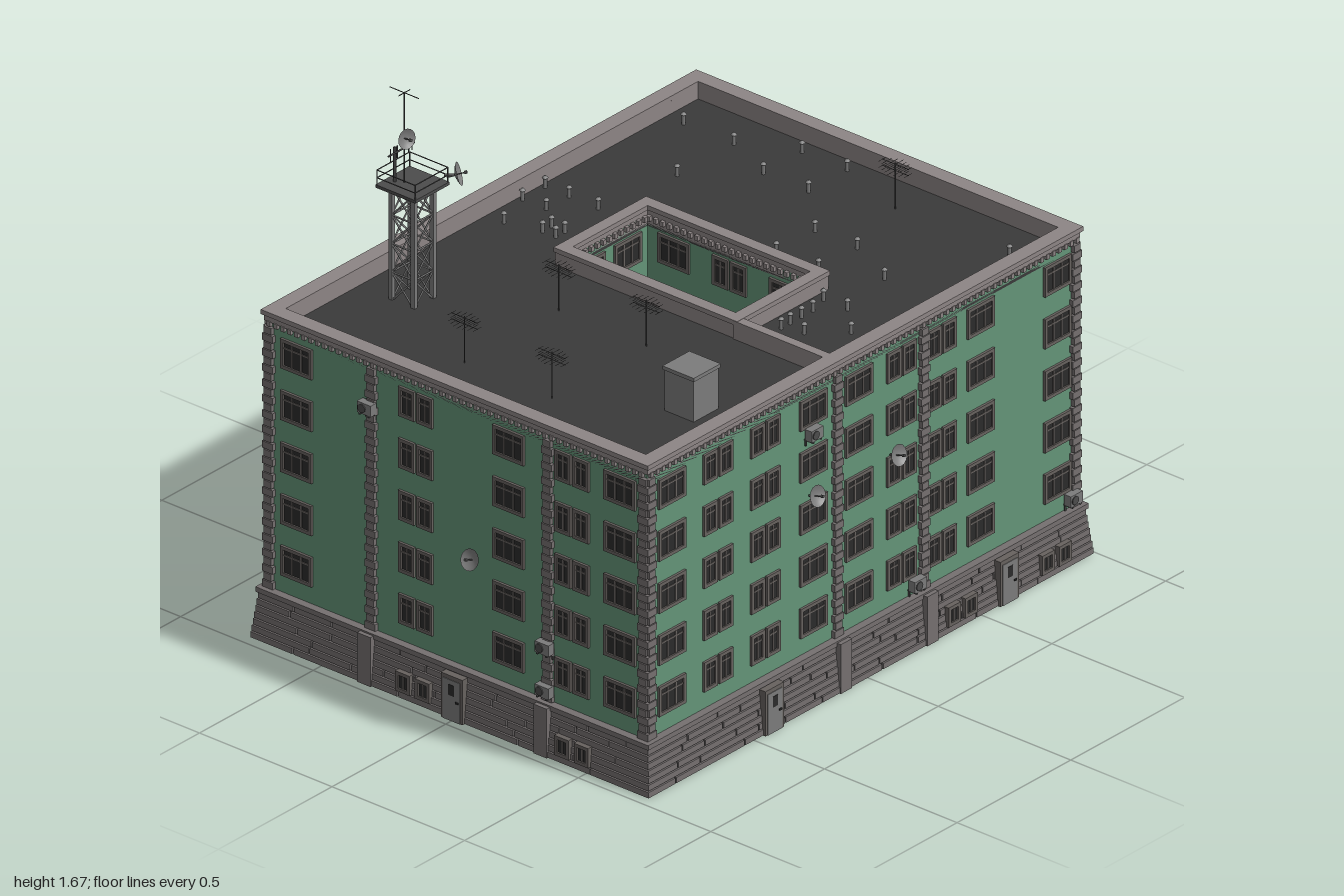
import * as THREE from 'three';
import { mergeGeometries } from 'three/addons/utils/BufferGeometryUtils.js';

const mat = (color) => new THREE.MeshStandardMaterial({ color, side: THREE.DoubleSide });
const M = {
  wall: mat(0x649478), stone: mat(0x757070), joint: mat(0x3c3939), trim: mat(0x8d8585), frame: mat(0x67625f),
  glass: mat(0x2b2b2b), roof: mat(0x3a3a3a), metal: mat(0x4c4c4c), grey: mat(0x7c7c7c),
};
// Outer wall lines and courtyard lines
const O = { x0: -0.93, x1: 0.955, z0: -0.73, z1: 0.7 };
const C = { x0: -0.08, x1: 0.26, z0: -0.32, z1: 0.305 };
const FLOORS = [0.27, 0.437, 0.606, 0.775, 0.943];

let seed = 7;
const rnd = () => (seed = (seed * 16807) % 2147483647) / 2147483647;

const box = (w, h, d, x, y, z) => new THREE.BoxGeometry(w, h, d).translate(x, y, z);

function rod(a, b, r = 0.003, sides = 5) {
  const p = new THREE.Vector3(...a), q = new THREE.Vector3(...b), dir = q.clone().sub(p);
  const g = new THREE.CylinderGeometry(r, r, dir.length(), sides);
  g.applyQuaternion(new THREE.Quaternion().setFromUnitVectors(new THREE.Vector3(0, 1, 0), dir.normalize()));
  return g.translate(...p.add(q).multiplyScalar(0.5).toArray());
}

// Joins pieces of one material, whether indexed or not
function addMesh(group, name, material, geoms) {
  if (!geoms.length) return;
  const mesh = new THREE.Mesh(mergeGeometries(geoms.map((g) => (g.index ? g.toNonIndexed() : g))), material);
  mesh.name = name;
  group.add(mesh);
}

// Rectangular slab with a rectangular opening
function ring(o, i, y0, y1) {
  const rect = (P, r) => new P([[r.x0, -r.z0], [r.x1, -r.z0], [r.x1, -r.z1], [r.x0, -r.z1]].map((p) => new THREE.Vector2(...p)));
  const s = rect(THREE.Shape, o);
  s.holes.push(rect(THREE.Path, i));
  return new THREE.ExtrudeGeometry(s, { depth: y1 - y0, bevelEnabled: false }).rotateX(-Math.PI / 2).translate(0, y0, 0);
}
const grow = (r, d) => ({ x0: r.x0 - d, x1: r.x1 + d, z0: r.z0 - d, z1: r.z1 + d });

// Window set through the wall: surround, glazing bars and pane
function addWindow(parts, u, y, w, h, bars, z = -0.005) {
  const t = 0.011, d = 0.026;
  for (const s of [-1, 1]) {
    parts.frame.push(box(t, h, d, u + s * (w - t) / 2, y, z));
    parts.frame.push(box(w, t, d, u, y + s * (h - t) / 2, z));
  }
  for (let i = 1; i <= bars; i++) parts.frame.push(box(0.005, h, 0.02, u + (i / (bars + 1) - 0.5) * (w - t), y, z));
  if (h > 0.08) parts.frame.push(box(w - t, 0.005, 0.02, u, y + h * 0.2, z));
  parts.glass.push(box(w - t, h - t, 0.016, u, y, z));
}

// Column of alternating long and short stones
function addQuoins(parts, u) {
  for (let i = 0; i < 34; i++) {
    parts.stone.push(box(i % 2 ? 0.028 : 0.04, 0.022, 0.022, u, 0.178 + i * 0.025, 0.002));
  }
}

// Facade in its own frame: u runs along the wall, +z points outward
function facade(name, { len, mid, rot, pos, wide = [], pairs = [], piers = [], doors = [], vents = [], inner = false }) {
  const g = new THREE.Group();
  g.name = name;
  const parts = { wall: [], stone: [], joint: [], frame: [], glass: [], trim: [], grey: [] };
  parts.wall.push(box(len, 1.03, 0.01, mid, 0.515, -0.005));
  for (const y of FLOORS) {
    for (const u of wide) addWindow(parts, u, y, 0.118, 0.096, 2);
    for (const u of pairs) for (const s of [-1, 1]) addWindow(parts, u + s * 0.034, y, 0.06, 0.096, 1);
  }
  // Sloping plinth of stone courses
  const k = inner ? 0.3 : 1, e = inner ? -1 : 1;
  parts.joint.push(box(len + e * 0.03 * k, 0.15, 0.016 * k, mid, 0.075, 0.008 * k));
  for (let r = 0; r < 7; r++) {
    const out = (0.036 - r * 0.0025) * k, half = len / 2 + e * out;
    for (let a = -half; a < half - 0.001;) {
      let b = a + 0.12 + rnd() * 0.2;
      if (b > half - 0.06) b = half;
      parts.stone.push(box(b - a - (b < half ? 0.005 : 0), 0.0185, out, mid + (a + b) / 2, 0.0105 + r * 0.0213, out / 2));
      a = b;
    }
  }
  parts.stone.push(box(len + e * 0.05 * k, 0.016, 0.026 * k, mid, 0.157, 0.013 * k));
  // Quoins at the corners and on piers
  if (!inner) for (const s of [-1, 1]) addQuoins(parts, mid + s * (len / 2 - 0.008));
  for (const u of piers) {
    addQuoins(parts, u);
    parts.stone.push(box(0.05, 0.16, 0.04, u, 0.08, 0.02));
  }
  // Doors and cellar windows
  for (const u of doors) {
    parts.frame.push(box(0.082, 0.145, 0.044, u, 0.0725, 0.022));
    parts.grey.push(box(0.064, 0.132, 0.048, u, 0.066, 0.022));
    parts.glass.push(box(0.022, 0.035, 0.05, u, 0.1, 0.022), box(0.01, 0.006, 0.054, u + 0.022, 0.065, 0.022));
  }
  for (const u of vents) for (const s of [-1, 1]) addWindow(parts, u + s * 0.037, 0.056, 0.054, 0.064, 1, 0.03);
  // Small brackets below the cornice
  for (let a = -len / 2 + 0.01; a < len / 2; a += 0.026) parts.trim.push(box(0.013, 0.016, 0.011, mid + a, 1.025, 0.0055));
  const labels = { wall: 'Wall', stone: 'Stonework', joint: 'PlinthCore', frame: 'WindowFrames', glass: 'Glass', trim: 'CorniceBrackets', grey: 'Doors' };
  for (const p in parts) addMesh(g, name + labels[p], M[p], parts[p]);
  g.rotation.y = rot;
  g.position.set(...pos);
  return g;
}

// Wall-mounted air conditioner with fan and brackets
function airConditioner(u, y) {
  const g = new THREE.Group();
  g.name = 'airConditioner';
  addMesh(g, 'airConditionerBody', M.grey, [box(0.052, 0.036, 0.026, u, y, 0.021)]);
  addMesh(g, 'airConditionerFan', M.metal, [
    new THREE.CylinderGeometry(0.014, 0.014, 0.004, 12).rotateX(Math.PI / 2).translate(u - 0.008, y, 0.035),
    ...[-1, 1].flatMap((s) => [box(0.005, 0.005, 0.034, u + s * 0.017, y - 0.021, 0.017), box(0.005, 0.024, 0.005, u + s * 0.017, y - 0.029, 0.004)]),
  ]);
  return g;
}

// Satellite dish aimed along dir
function dish(pos, dir, r) {
  const g = new THREE.Group();
  g.name = 'satelliteDish';
  const prof = [0, 0.35, 0.7, 1].map((t) => new THREE.Vector2(r * t, 0.35 * r * t * t));
  addMesh(g, 'dishBowl', M.grey, [new THREE.LatheGeometry(prof, 16)]);
  addMesh(g, 'dishArm', M.metal, [rod([0, 0, 0], [0, r * 0.9, 0], 0.002), rod([0, 0, 0], [0, -r * 0.7, 0], 0.004),
    new THREE.CylinderGeometry(0.005, 0.005, 0.008, 6).translate(0, r * 0.9, 0)]);
  g.quaternion.setFromUnitVectors(new THREE.Vector3(0, 1, 0), new THREE.Vector3(...dir).normalize());
  g.position.set(...pos);
  return g;
}

function roofAntenna(x, z) {
  const geo = [rod([x, 1, z], [x, 1.155, z], 0.002)];
  for (const y of [1.13, 1.15]) {
    geo.push(rod([x, y, z - 0.05], [x, y, z + 0.05], 0.0012, 4));
    for (let i = -3; i <= 3; i++) {
      const half = 0.035 - Math.abs(i) * 0.006;
      geo.push(rod([x - half, y, z + i * 0.016], [x + half, y, z + i * 0.016], 0.001, 4));
    }
  }
  return geo;
}

// Lattice tower with railed platform and masts
function tower() {
  const g = new THREE.Group();
  g.name = 'antennaTower';
  const cx = -0.525, cz = -0.533, h = 0.042, y0 = 1, y1 = 1.37, geo = [], rail = [];
  const ring4 = [[-1, -1], [1, -1], [1, 1], [-1, 1]];
  ring4.forEach(([sx, sz], i) => {
    const [tx, tz] = ring4[(i + 1) % 4];
    const at = (a, b, y, r = h) => [cx + a * r, y, cz + b * r];
    geo.push(box(0.014, y1 - y0, 0.014, cx + sx * h, (y0 + y1) / 2, cz + sz * h));
    for (let k = 0; k < 4; k++) {
      const a = y0 + k * 0.0925, b = a + 0.0925;
      geo.push(rod(at(sx, sz, a), at(tx, tz, b)), rod(at(tx, tz, a), at(sx, sz, b)), rod(at(sx, sz, b), at(tx, tz, b)));
    }
    for (const y of [1.4, 1.425]) rail.push(rod(at(sx, sz, y, 0.072), at(tx, tz, y, 0.072), 0.0018));
    rail.push(rod(at(sx, sz, y1, 0.072), at(sx, sz, 1.425, 0.072), 0.002));
  });
  addMesh(g, 'towerLattice', M.grey, geo);
  addMesh(g, 'towerPlatform', M.metal, [box(0.15, 0.01, 0.15, cx, y1 + 0.003, cz)]);
  addMesh(g, 'platformRailing', M.metal, rail);
  addMesh(g, 'towerMasts', M.metal, [
    rod([-0.535, y1, -0.555], [-0.535, 1.67, -0.555], 0.003), rod([-0.55, y1, -0.578], [-0.55, 1.49, -0.578], 0.005),
    rod([-0.535, 1.668, -0.61], [-0.535, 1.668, -0.5], 0.0015), rod([-0.56, 1.668, -0.555], [-0.51, 1.668, -0.555], 0.0015),
    rod([-0.6, 1.485, -0.56], [-0.485, 1.485, -0.56], 0.003),
    ...[-0.59, -0.56, -0.51, -0.495].map((x) => rod([x, 1.465, -0.56], [x, 1.505, -0.56], 0.002)),
    rod([-0.46, 1.4, -0.47], [-0.44, 1.4, -0.45], 0.004),
  ]);
  g.add(dish([-0.438, 1.4, -0.447], [0.6, 0.3, 0.8], 0.036), dish([-0.542, 1.525, -0.548], [-0.2, 0.2, 1], 0.031));
  return g;
}

export function createModel() {
  const root = new THREE.Group();
  root.name = 'courtyardBuilding';
  const P = Math.PI, W = O.x1 - O.x0, D = O.z1 - O.z0, mx = (O.x0 + O.x1) / 2, mz = (O.z0 + O.z1) / 2;
  const front = facade('front', { len: W, mid: mx, rot: 0, pos: [0, 0, O.z1], wide: [-0.826, -0.203, -0.003, 0.532, 0.87],
    pairs: [-0.623, -0.415, 0.184, 0.36], piers: [-0.1, 0.28], doors: [-0.42, 0.613], vents: [0.41, 0.823] });
  const right = facade('right', { len: D, mid: -mz, rot: P / 2, pos: [O.x1, 0, 0], wide: [-0.425, -0.219],
    pairs: [0.23, 0.63], piers: [-0.33, 0.335], doors: [0] });
  const back = facade('back', { len: W, mid: -mx, rot: P, pos: [0, 0, O.z0], wide: [-0.86, -0.42, -0.03, 0.62, 0.82],
    pairs: [-0.65, -0.18, 0.2], piers: [-0.28, 0.1], vents: [-0.58, -0.38, 0.4] });
  const left = facade('left', { len: D, mid: mz, rot: -P / 2, pos: [O.x0, 0, 0], wide: [-0.62, 0.18, 0.6],
    pairs: [-0.17, 0.42], piers: [-0.335, 0.33], doors: [0], vents: [-0.15, 0.45] });
  // Air conditioners and dishes on the walls
  for (const [f, list] of [[front, [[-0.22, 0.88], [0.235, 0.205], [0.92, 0.205]]], [right, [[-0.15, 0.73], [0.69, 0.555], [0.25, 0.38], [0, 0.2]]],
    [back, [[0.1, 0.885], [-0.28, 0.71], [-0.28, 0.205]]], [left, [[-0.34, 0.89], [0.33, 0.345], [0.33, 0.205]]]]) {
    for (const [u, y] of list) f.add(airConditioner(u, y));
  }
  front.add(dish([-0.225, 0.68, 0.028], [0, 0.3, 1], 0.033), dish([0.133, 0.667, 0.028], [0, 0.3, 1], 0.033));
  left.add(dish([0.065, 0.54, 0.03], [0, 0.4, 1], 0.033));
  root.add(front, right, back, left);

  // Courtyard walls face inward
  const cw = C.x1 - C.x0, cd = C.z1 - C.z0, cx = (C.x0 + C.x1) / 2, cz = (C.z0 + C.z1) / 2;
  const long = { len: cd, mid: 0, wide: [-0.21, 0.21], pairs: [0], inner: true }, short = { len: cw, mid: 0, wide: [-0.08, 0.08], inner: true };
  root.add(facade('courtyardBack', { ...short, rot: 0, pos: [cx, 0, C.z0] }), facade('courtyardFront', { ...short, rot: P, pos: [cx, 0, C.z1] }),
    facade('courtyardLeft', { ...long, rot: -P / 2, pos: [C.x1, 0, cz] }), facade('courtyardRight', { ...long, rot: P / 2, pos: [C.x0, 0, cz] }));

  // Party wall between courtyard and front
  const pz = (C.z1 + O.z1) / 2, pl = O.z1 - C.z1;
  addMesh(root, 'partyWall', M.wall, [box(0.02, 0.85, pl - 0.02, -0.1, 0.585, pz)]);
  addMesh(root, 'partyWallPlinth', M.stone, [0, 1, 2, 3, 4, 5, 6].map((r) => box(0.03, 0.0185, pl - 0.02, -0.1, 0.0105 + r * 0.0213, pz)));

  // Roof, cornice and parapets
  addMesh(root, 'roof', M.roof, [ring(O, C, 0.995, 1.005)]);
  addMesh(root, 'cornice', M.trim, [
    ring(grow(O, 0.008), grow(O, -0.034), 1.03, 1.05), ring(grow(O, 0.015), grow(O, -0.036), 1.05, 1.065), ring(grow(O, 0), grow(O, -0.032), 1, 1.03),
    ring(grow(C, 0.031), grow(C, 0), 1, 1.05), ring(grow(C, 0.034), grow(C, -0.006), 1.05, 1.065),
    box(0.03, 0.065, pl - 0.04, -0.1, 1.0315, pz),
  ]);

  // Roof access hut
  addMesh(root, 'roofHut', M.grey, [box(0.11, 0.14, 0.11, -0.517, 1.07, 0.513), box(0.118, 0.012, 0.118, -0.517, 1.144, 0.513)]);
  addMesh(root, 'roofHutDoor', M.frame, [box(0.005, 0.13, 0.055, -0.46, 1.067, 0.513)]);

  // Roof vents and aerials
  const vents = [[-0.01, -0.63], [0.13, -0.68], [0.23, -0.68], [0.13, -0.59], [0.23, -0.59], [0.02, -0.51], [0.06, -0.51], [0.02, -0.46],
    [0.06, -0.46], [0.23, -0.48], [0.53, -0.44], [0.78, -0.63], [0.78, -0.44], [0.7, -0.26], [0.87, -0.26], [0.7, -0.09], [0.87, -0.09],
    [0.36, 0.08], [0.53, 0.08], [0.36, 0.24], [0.53, 0.24], [0.44, 0.42], [0.78, 0.6], [0.02, 0.39], [0.06, 0.39], [0.11, 0.39], [0.16, 0.39],
    [0.23, 0.37], [0.04, 0.46], [0.23, 0.46], [0.13, 0.56]];
  addMesh(root, 'roofVents', M.grey, vents.flatMap(([x, z]) => [
    new THREE.CylinderGeometry(0.006, 0.006, 0.035, 8).translate(x, 1.02, z), new THREE.CylinderGeometry(0.003, 0.01, 0.008, 8).translate(x, 1.041, z)]));
  addMesh(root, 'roofAerials', M.metal, [[-0.725, -0.165], [-0.725, 0.165], [-0.31, -0.165], [-0.31, 0.165], [0.785, 0.165]].flatMap(([x, z]) => roofAntenna(x, z)));
  root.add(tower());
  return root;
}
